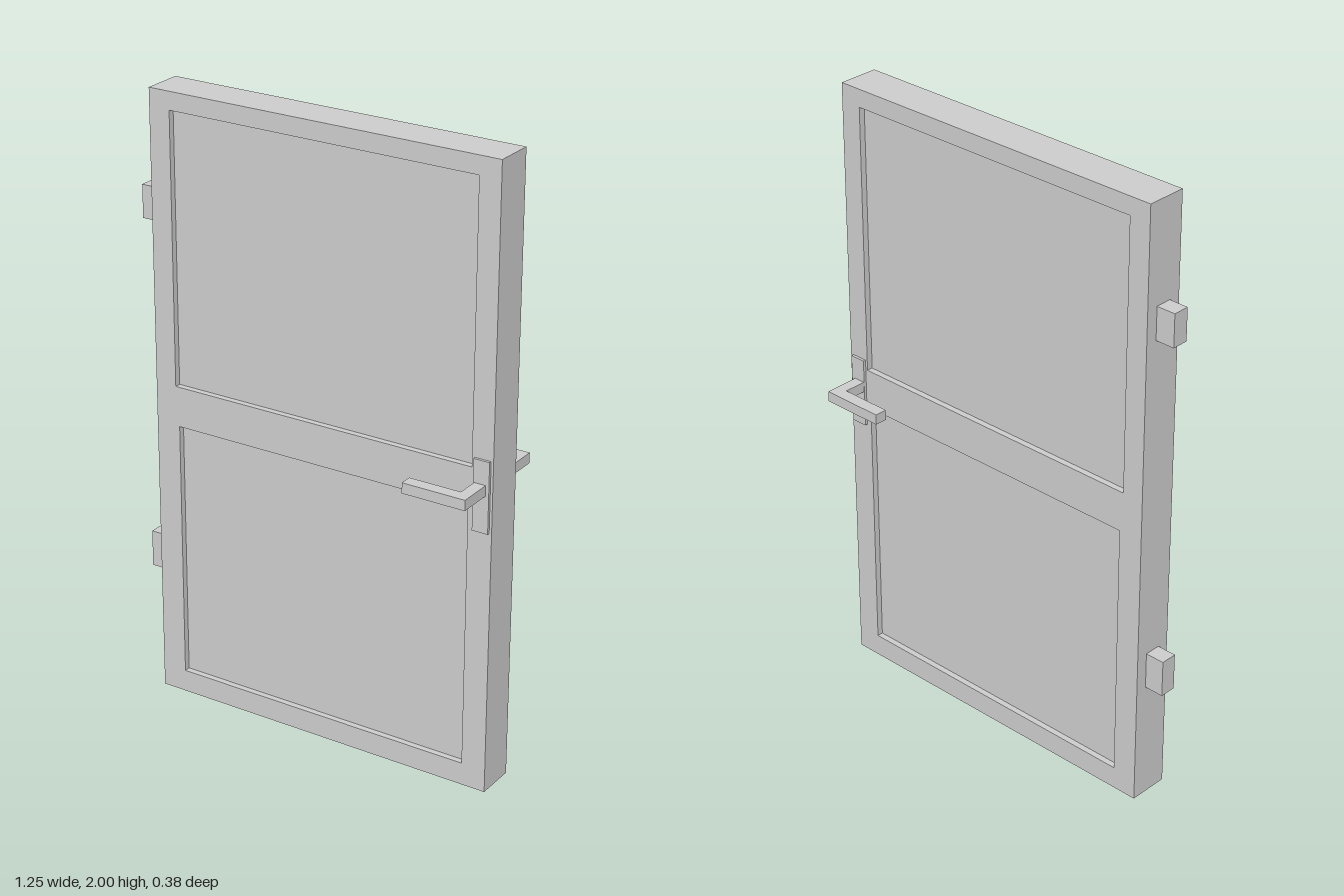
import * as THREE from 'three';

const material = new THREE.MeshStandardMaterial({ color: 0xcccccc, flatShading: true });

// Box given by its min and max along each axis
function box(name, [x0, x1], [y0, y1], [z0, z1]) {
  const mesh = new THREE.Mesh(new THREE.BoxGeometry(x1 - x0, y1 - y0, z1 - z0), material);
  mesh.position.set((x0 + x1) / 2, (y0 + y1) / 2, (z0 + z1) / 2);
  mesh.name = name;
  return mesh;
}

function rectangle(target, [x0, x1], [y0, y1]) {
  target.moveTo(x0, y0).lineTo(x1, y0).lineTo(x1, y1).lineTo(x0, y1).closePath();
  return target;
}

export function createModel() {
  const door = new THREE.Group();
  door.name = 'door';
  const half = 0.066, recess = 0.02;
  const panels = [
    { name: 'upperPanel', x: [-0.492, 0.556], y: [1.063, 1.942] },
    { name: 'lowerPanel', x: [-0.481, 0.546], y: [0.074, 0.931] },
  ];

  // Frame with two openings
  const outline = rectangle(new THREE.Shape(), [-0.564, 0.627], [0, 2]);
  for (const p of panels) outline.holes.push(rectangle(new THREE.Path(), p.x, p.y));
  const frameGeometry = new THREE.ExtrudeGeometry(outline, { depth: 2 * half, bevelEnabled: false });
  frameGeometry.translate(0, 0, -half);
  const frame = new THREE.Mesh(frameGeometry, material);
  frame.name = 'frame';
  door.add(frame);

  // Panels set back on both faces
  for (const p of panels) door.add(box(p.name, p.x, p.y, [recess - half, half - recess]));

  // Hinge blocks on the right edge
  door.add(box('upperHinge', [-0.628, -0.564], [1.57, 1.677], [-0.027, 0.027]));
  door.add(box('lowerHinge', [-0.628, -0.564], [0.396, 0.517], [-0.027, 0.027]));

  // Backplate and L-shaped lever on each face
  for (const side of [1, -1]) {
    const handle = new THREE.Group();
    handle.name = side > 0 ? 'frontHandle' : 'backHandle';
    const span = (a, b) => (side > 0 ? [a, b] : [-b, -a]);
    const shift = side > 0 ? 0 : -0.005;
    handle.add(box('backplate', [0.566 + shift / 2, 0.619 + shift / 2], [0.867, 1.096], span(half - 0.01, 0.075)));

    const lever = new THREE.Shape();
    lever.moveTo(0.608, 0.07).lineTo(0.608, 0.19).lineTo(0.398, 0.19)
      .lineTo(0.398, 0.149).lineTo(0.57, 0.149).lineTo(0.57, 0.07).closePath();
    const geometry = new THREE.ExtrudeGeometry(lever, { depth: 0.034, bevelEnabled: false });
    // Lay the profile flat; its second axis becomes z
    geometry.rotateX(Math.PI / 2);
    const mesh = new THREE.Mesh(geometry, material);
    mesh.name = 'lever';
    mesh.position.set(shift, 1.021, 0);
    if (side < 0) {
      // Half turn about x puts the lever on the back face
      mesh.rotation.x = Math.PI;
      mesh.position.y = 0.987;
    }
    handle.add(mesh);
    door.add(handle);
  }
  return door;
}
